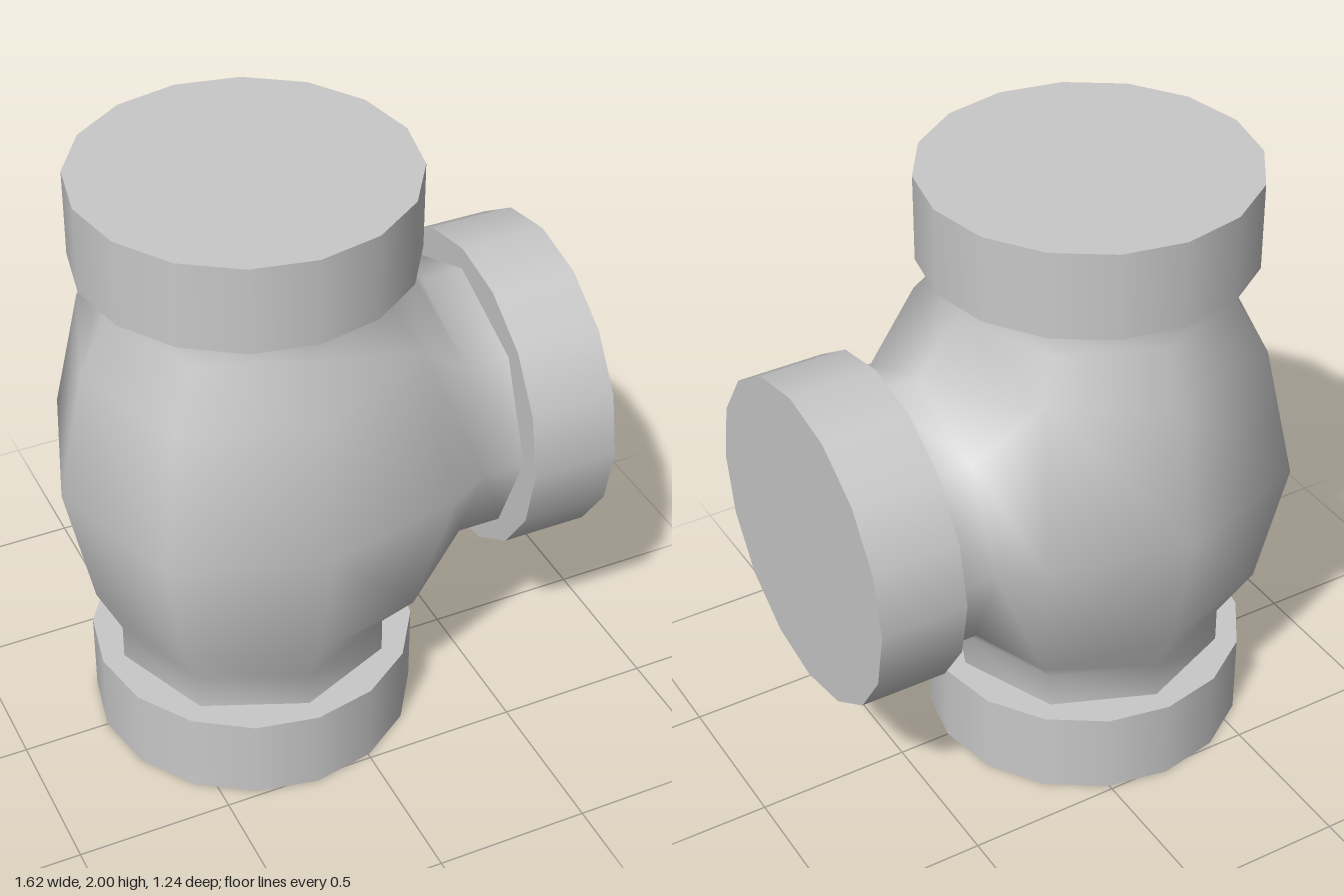
import * as THREE from 'three';

const AXIS_X = -0.195;

// Octagonal bulging body whose +x side opens into the branch neck, as one smooth skin
function bodyGeometry() {
  // height, radius on the axes, radius on the diagonals
  const rows = [
    [0.25, 0.45, 0.45], [0.4, 0.45, 0.45], [0.57, 0.53, 0.56], [1, 0.618, 0.655],
    [1.43, 0.53, 0.56], [1.61, 0.45, 0.45], [1.74, 0.45, 0.45],
  ];
  const points = [], index = [];
  const id = (row, col) => row * 8 + (col % 8);
  const quad = (a, b, c, d) => index.push(a, b, c, a, c, d);

  rows.forEach(([y, r, diagonal]) => {
    for (let k = 0; k < 8; k++) {
      const a = k * Math.PI / 4, radius = k % 2 ? diagonal : r;
      points.push([AXIS_X + radius * Math.cos(a), y, radius * Math.sin(a)]);
    }
  });

  // Rim of the branch opening: pulled outwards to flare into the neck
  points[id(4, 0)] = [0.33, 1.54, 0];
  points[id(2, 0)] = [0.3, 0.475, 0];
  for (const [col, s] of [[1, 1], [7, -1]]) {
    points[id(4, col)] = [0.195, 1.49, s * 0.39];
    points[id(3, col)] = [0.26, 1, s * 0.52];
    points[id(2, col)] = [0.195, 0.51, s * 0.39];
  }

  for (let r = 0; r < rows.length - 1; r++) {
    for (let k = 0; k < 8; k++) {
      if ((r === 2 || r === 3) && (k === 0 || k === 7)) continue; // branch opening
      quad(id(r, k), id(r + 1, k), id(r + 1, k + 1), id(r, k + 1));
    }
  }

  // Branch neck grown from the rim of the opening
  let ring = [[4, 0], [4, 1], [3, 1], [2, 1], [2, 0], [2, 7], [3, 7], [4, 7]].map(([r, k]) => id(r, k));
  for (const x of [0.39, 0.55]) {
    const next = [];
    for (let j = 0; j < 8; j++) {
      const a = j * Math.PI / 4;
      next.push(points.length);
      points.push([x, 1 + 0.45 * Math.cos(a), 0.447 * Math.sin(a)]);
    }
    for (let j = 0; j < 8; j++) {
      const n = (j + 1) % 8;
      quad(ring[j], ring[n], next[n], next[j]);
    }
    ring = next;
  }

  const geometry = new THREE.BufferGeometry();
  geometry.setAttribute('position', new THREE.Float32BufferAttribute(points.flat(), 3));
  geometry.setIndex(index);
  geometry.computeVertexNormals();
  return geometry;
}

export function createModel() {
  const group = new THREE.Group();
  const metal = new THREE.MeshStandardMaterial({ color: 0xc8c8c8 });
  metal.name = 'grey metal';

  const body = new THREE.Mesh(bodyGeometry(), metal);
  body.name = 'teeBody';
  group.add(body);

  // Three identical capped collars
  const collarGeometry = new THREE.CylinderGeometry(0.522, 0.522, 0.28, 16);
  const addCollar = (name, x, y, tilt) => {
    const collar = new THREE.Mesh(collarGeometry, metal);
    collar.name = name;
    collar.position.set(x, y, 0);
    collar.rotation.z = tilt;
    group.add(collar);
  };
  addCollar('bottomCollar', AXIS_X, 0.14, 0);
  addCollar('topCollar', AXIS_X, 1.86, 0);
  addCollar('branchCollar', 0.671, 1, -Math.PI / 2);

  return group;
}
